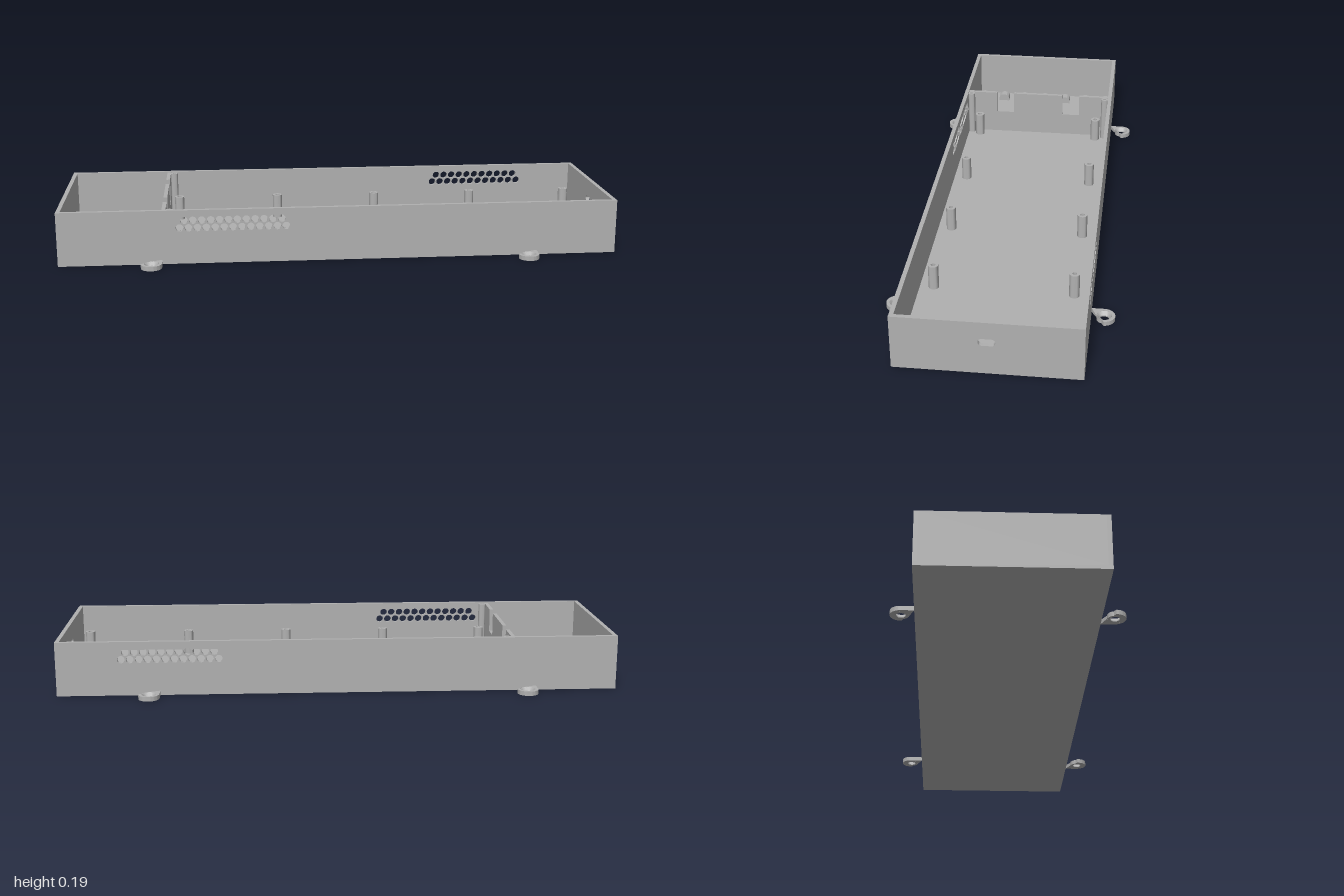
import * as THREE from 'three';
import { toCreasedNormals } from 'three/addons/utils/BufferGeometryUtils.js';

const W = 1, D = 0.307, H = 0.195, T = 0.015;   // half length, half depth, height, wall

export function createModel() {
  const model = new THREE.Group();
  model.name = 'electronicsTray';
  const grey = new THREE.MeshStandardMaterial({ color: 0xb0b0b0 });
  grey.name = 'grey plastic';

  const add = (name, geometry, x = 0, y = 0, z = 0, parent = model) => {
    const mesh = new THREE.Mesh(geometry, grey);
    mesh.name = name;
    mesh.position.set(x, y, z);
    parent.add(mesh);
    return mesh;
  };
  const polygon = (pts) => new THREE.Shape(pts.map(([x, y]) => new THREE.Vector2(x, y)));
  const extrude = (shape, depth) => toCreasedNormals(
    new THREE.ExtrudeGeometry(shape, { depth, bevelEnabled: false, curveSegments: 16 }), 0.6);
  const lathe = (pts) => toCreasedNormals(
    new THREE.LatheGeometry(pts.map(([r, y]) => new THREE.Vector2(r, y)), 24), 0.6);
  // Hollow round post standing on its base
  const tube = (inner, outer, h) => lathe([[inner, 0], [outer, 0], [outer, h], [inner, h], [inner, 0]]);

  // Floor
  add('floor', new THREE.BoxGeometry(2 * W, T, 2 * D), 0, T / 2, 0);

  // Long walls with two staggered rows of round vents
  const pitch = 0.0313;
  const ventWall = (centre, count) => {
    const wall = polygon([[-W, T], [W, T], [W, H], [-W, H]]);
    for (const [n, y] of [[count, 0.131], [count - 1, 0.158]]) {
      for (let i = 0; i < n; i++) {
        const x = centre + (i - (n - 1) / 2) * pitch;
        wall.holes.push(new THREE.Path().absarc(x, y, 0.0135, 0, Math.PI * 2, true));
      }
    }
    return extrude(wall, T);
  };
  add('frontWall', ventWall(-0.384, 13), 0, 0, D - T);
  add('backWall', ventWall(0.598, 12), 0, 0, -D);

  // End walls, the left one with a cable slot
  const endShape = () => polygon([[-D + T, T], [D - T, T], [D - T, H], [-D + T, H]]);
  const slotted = endShape();
  const slot = new THREE.Path();
  slot.absarc(0.015, 0.12, 0.013, -Math.PI / 2, Math.PI / 2, false);
  slot.absarc(-0.015, 0.12, 0.013, Math.PI / 2, Math.PI * 1.5, false);
  slot.closePath();
  slotted.holes.push(slot);
  add('leftEndWall', extrude(slotted, T), W - T).rotation.y = Math.PI / 2;
  add('rightEndWall', extrude(endShape(), T), -W).rotation.y = Math.PI / 2;

  // Partition with two wire notches
  const top = H - 0.004, notch = 0.105, e = D - T;
  const partition = polygon([
    [-e, T], [e, T], [e, top], [0.172, top], [0.172, notch], [0.102, notch], [0.102, top],
    [-0.102, top], [-0.102, notch], [-0.172, notch], [-0.172, top], [-e, top],
  ]);
  add('partition', extrude(partition, 0.014), -0.634).rotation.y = Math.PI / 2;

  // Slim corner posts beside the partition
  for (const s of [-1, 1]) add('cornerPost', tube(0.006, 0.014, top - T), -0.607, T, s * 0.279);

  // Board standoffs
  for (let i = 0; i < 5; i++) {
    for (const s of [-1, 1]) add('standoff', tube(0.008, 0.018, 0.09), -0.588 + i * 0.385, T, s * 0.243);
  }

  // Two rows of low rounded holders in the small compartment
  const bump = new THREE.Shape();
  bump.moveTo(-0.021, 0);
  bump.lineTo(0.021, 0);
  bump.lineTo(0.021, 0.012);
  bump.absellipse(0, 0.012, 0.021, 0.016, 0, Math.PI, false);
  bump.closePath();
  const bumpGeometry = extrude(bump, 0.034);
  for (const x of [-0.928, -0.695]) {
    for (let i = -3; i <= 3; i++) {
      add('holder', bumpGeometry, x - 0.017, T, i * 0.09).rotation.y = Math.PI / 2;
    }
  }

  // Mounting ears with countersunk screw holes
  const reach = 0.351 - D, r = 0.037;
  const ear = new THREE.Shape();
  ear.moveTo(-r, reach);
  ear.absarc(0, 0, r, Math.PI, Math.PI * 2, false);
  ear.lineTo(r, reach);
  ear.closePath();
  ear.holes.push(new THREE.Path().absarc(0, 0, 0.026, 0, Math.PI * 2, true));
  const earGeometry = extrude(ear, 0.016).rotateX(-Math.PI / 2);
  const sink = lathe([[0.016, 0], [0.026, 0], [0.026, 0.016], [0.016, 0.004], [0.016, 0]]);
  for (const x of [-0.672, 0.672]) {
    for (const s of [-1, 1]) {
      const group = new THREE.Group();
      group.name = 'mountingEar';
      group.position.set(x, 0, s * 0.351);
      if (s < 0) group.rotation.y = Math.PI;
      add('earPlate', earGeometry, 0, 0, 0, group);
      add('countersink', sink, 0, 0, 0, group);
      model.add(group);
    }
  }
  return model;
}
